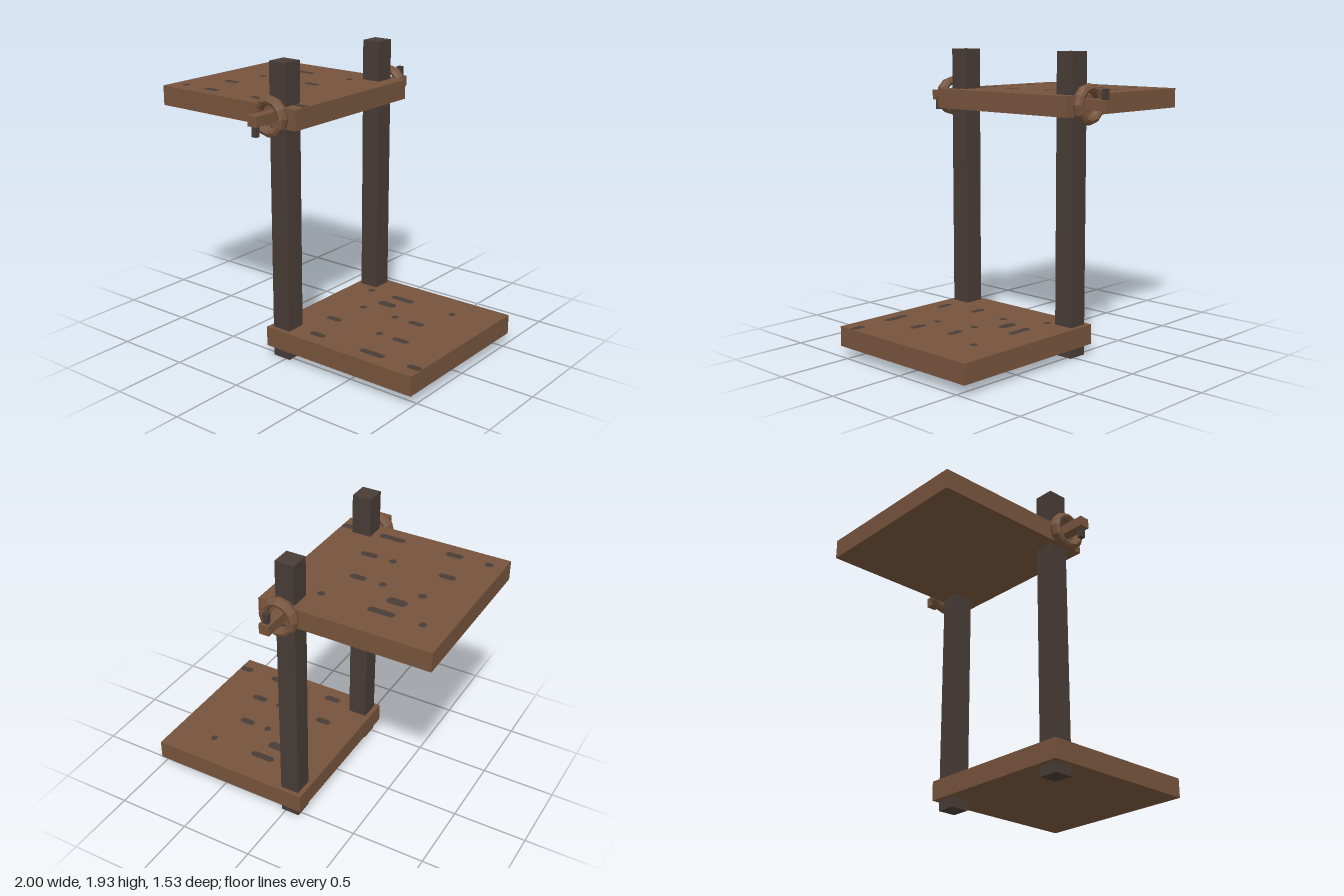
import * as THREE from 'three';

const wood = new THREE.MeshStandardMaterial({ color: 0x76543c, flatShading: true });
wood.name = 'brown wood';
const dark = new THREE.MeshStandardMaterial({ color: 0x483c36, flatShading: true });
dark.name = 'dark wood';

const AXIS_X = -0.035, AXIS_Y = 1.615;

function box(name, mat, x0, x1, y0, y1, z0, z1) {
  const mesh = new THREE.Mesh(new THREE.BoxGeometry(x1 - x0, y1 - y0, z1 - z0), mat);
  mesh.position.set((x0 + x1) / 2, (y0 + y1) / 2, (z0 + z1) / 2);
  mesh.name = name;
  return mesh;
}

// Flat grain mark with clipped corners, facing up
function mark(name, x0, x1, z, width, y) {
  const h = width / 2, c = width * 0.3;
  const shape = new THREE.Shape([
    [x0 + c, -h], [x1 - c, -h], [x1, -h + c], [x1, h - c],
    [x1 - c, h], [x0 + c, h], [x0, h - c], [x0, -h + c],
  ].map(([x, v]) => new THREE.Vector2(x, v)));
  const mesh = new THREE.Mesh(new THREE.ShapeGeometry(shape).rotateX(-Math.PI / 2), dark);
  mesh.position.set(0, y, z);
  mesh.name = name;
  return mesh;
}

// Grain dashes per row: z, then [start, end] measured from the board's left edge
const GRAIN = [
  [-0.34, [[0.145, 0.19], [0.345, 0.52], [0.81, 0.855]]],
  [-0.07, [[0.275, 0.325], [0.54, 0.585], [0.675, 0.785]]],
  [0.2, [[0.21, 0.32], [0.61, 0.655], [0.74, 0.855]]],
  [0.455, [[0.075, 0.125], [0.275, 0.39], [0.675, 0.855], [1.03, 1.128]]],
];

// Board with surface grain
function board(name, x0, y0) {
  const group = new THREE.Group();
  group.name = name;
  const top = y0 + 0.13;
  group.add(box(name + 'Slab', wood, x0, x0 + 1.13, y0, top, -0.565, 0.565));
  // Positions in the grain rows follow the shorter pitch of the lower board
  const shift = x0;
  for (const [z, dashes] of GRAIN)
    for (const [a, b] of dashes) group.add(mark('grainDash', shift + a, shift + b, z, 0.05, top + 0.0004));
  group.add(mark('knot', shift + 0.335, shift + 0.465, -0.205, 0.066, top + 0.003));
  return group;
}

export function createModel() {
  const model = new THREE.Group();
  model.name = 'pillory';

  model.add(board('upperBoard', -1, 1.54));
  model.add(board('lowerBoard', -0.132, 0.07));

  // Axle bar through the upper board
  model.add(box('axle', wood, AXIS_X - 0.034, AXIS_X + 0.034, AXIS_Y - 0.033, AXIS_Y + 0.033, -0.767, 0.767));

  for (const s of [1, -1]) {
    // Upright post
    const post = box('post', dark, -0.1, 0.03, 0, 1.935, -0.0665, 0.0665);
    post.position.z = s * 0.4675;
    model.add(post);

    // Ring around the axle end
    const ring = new THREE.Mesh(new THREE.TorusGeometry(0.101, 0.03, 8, 12), wood);
    ring.scale.z = 1.25;
    ring.position.set(AXIS_X, AXIS_Y, s * 0.605);
    ring.name = 'ring';
    model.add(ring);

    // Locking pin: downwards at the front, upwards at the back
    const pin = box('pin', dark, AXIS_X - 0.018, AXIS_X + 0.018, -0.045, 0.045, -0.016, 0.016);
    pin.position.set(AXIS_X, AXIS_Y - s * 0.055, s * 0.735);
    model.add(pin);
  }
  return model;
}
